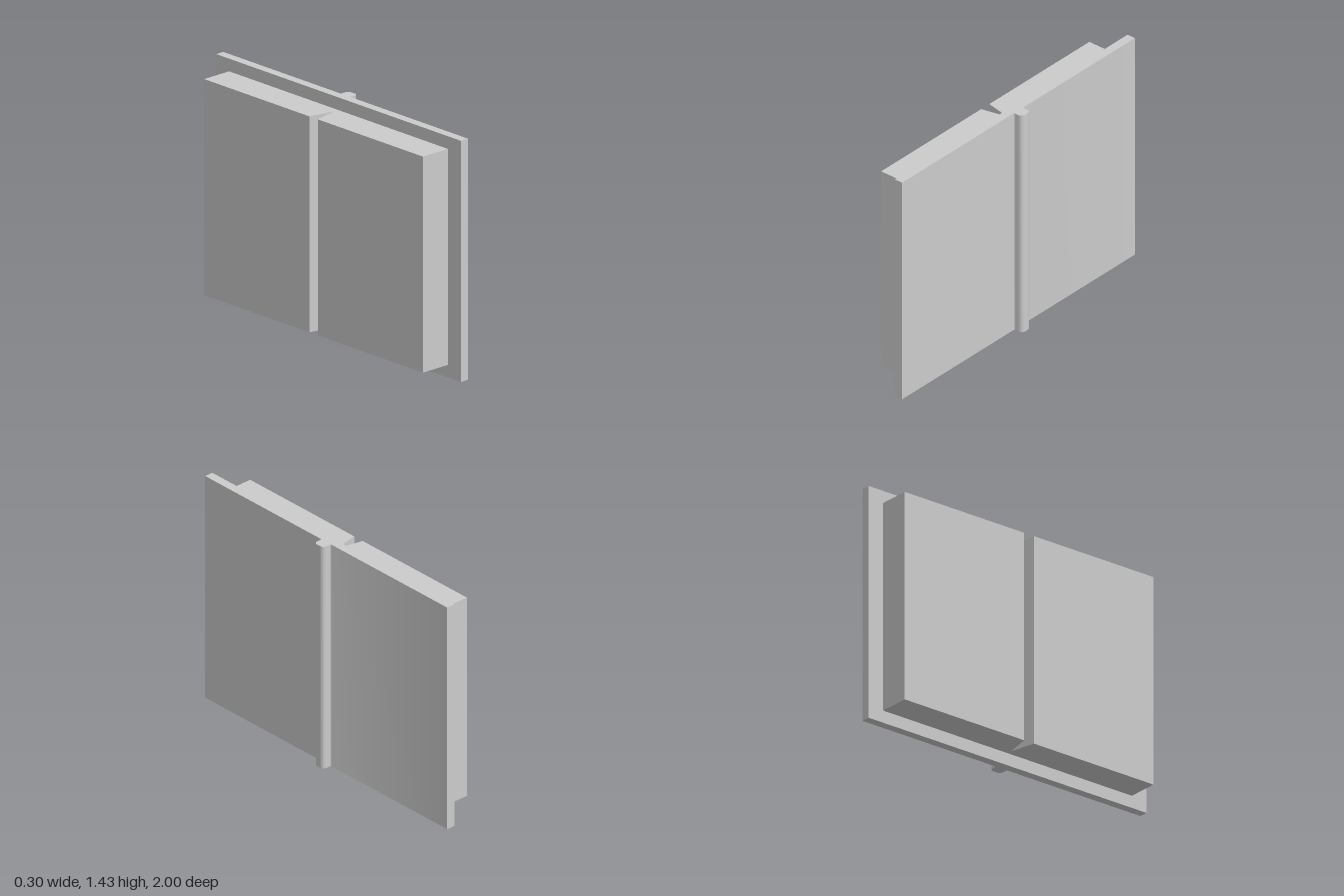
import * as THREE from 'three';
import { toCreasedNormals } from 'three/addons/utils/BufferGeometryUtils.js';

const COVER_HEIGHT = 1.43;
const PAGE_INSET = 0.075;

// Extrudes a plan outline upwards, from y = bottom to y = top
function upright(name, shape, bottom, top, material) {
  const extruded = new THREE.ExtrudeGeometry(shape, {
    depth: top - bottom, bevelEnabled: false, curveSegments: 8,
  });
  extruded.rotateX(-Math.PI / 2).translate(0, bottom, 0);
  const mesh = new THREE.Mesh(toCreasedNormals(extruded, Math.PI / 6), material);
  mesh.name = name;
  return mesh;
}

export function createModel() {
  const group = new THREE.Group();
  group.name = 'openBook';
  const material = new THREE.MeshStandardMaterial({ color: 0xcccccc });

  // Cover boards with the rounded spine, as one plan outline
  const inner = 0.038, outer = 0.092, spineEnd = 0.15;
  const half = 0.038, fillet = 0.01, round = 0.026;
  const cover = new THREE.Shape();
  cover.moveTo(inner, -1);
  cover.lineTo(outer, -1);
  cover.lineTo(outer, -half - fillet);
  cover.quadraticCurveTo(outer, -half, outer + fillet, -half);
  cover.lineTo(spineEnd - round, -half);
  cover.absarc(spineEnd - round, -half + round, round, -Math.PI / 2, 0, false);
  cover.absarc(spineEnd - round, half - round, round, 0, Math.PI / 2, false);
  cover.lineTo(outer + fillet, half);
  cover.quadraticCurveTo(outer, half, outer, half + fillet);
  cover.lineTo(outer, 1);
  cover.lineTo(inner, 1);
  cover.closePath();
  group.add(upright('coverAndSpine', cover, 0, COVER_HEIGHT, material));

  // Page block, split by a V-shaped gutter
  const front = -0.153, pageEnd = 0.895, gutter = 0.035;
  const pages = new THREE.Shape([
    [inner, -pageEnd], [inner, pageEnd], [front, pageEnd], [front, gutter],
    [0.008, 0], [front, -gutter], [front, -pageEnd],
  ].map(([x, z]) => new THREE.Vector2(x, z)));
  group.add(upright('pages', pages, PAGE_INSET, COVER_HEIGHT - PAGE_INSET, material));

  return group;
}
